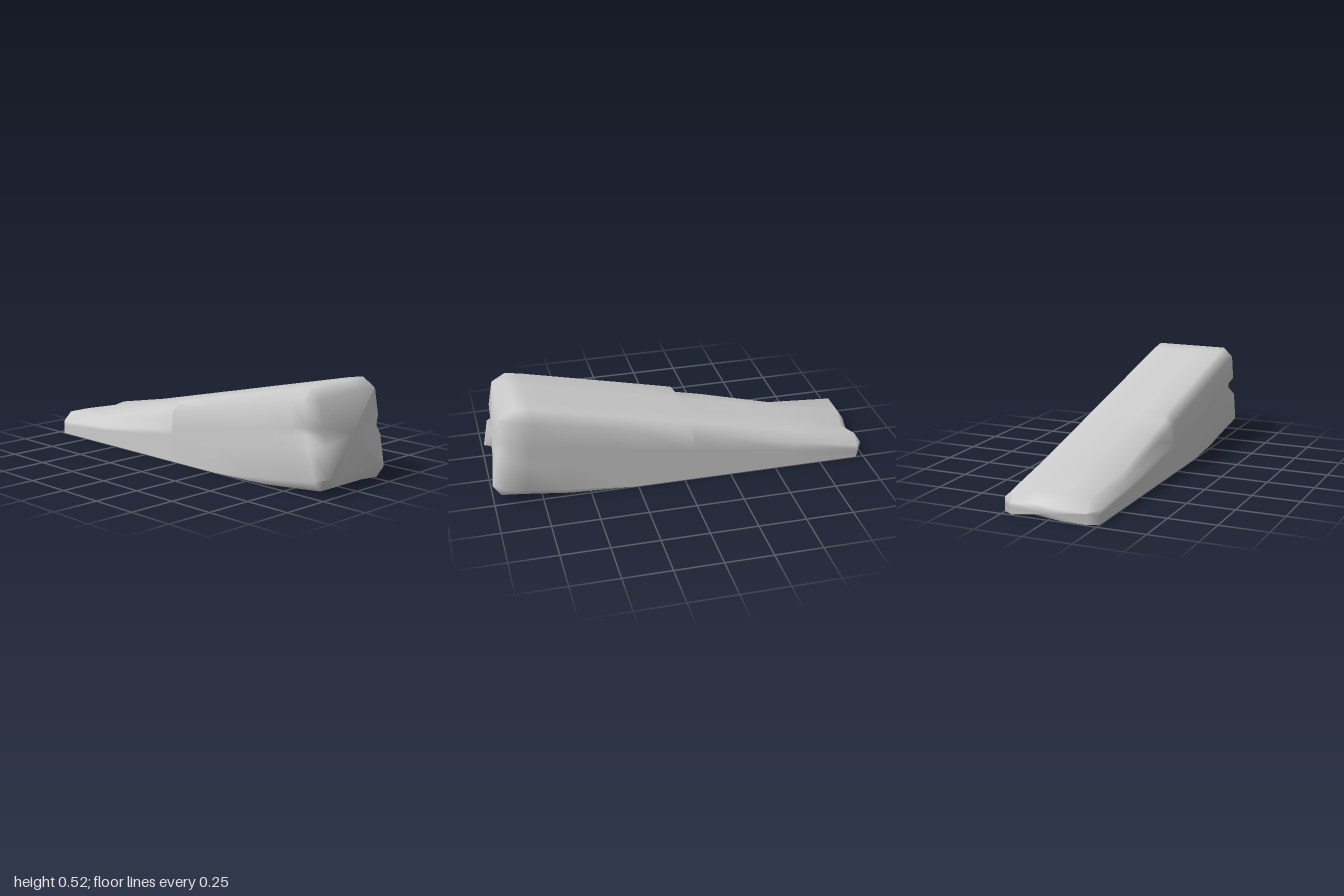
import * as THREE from 'three';

// Cross-sections from back to front:
// [z at bottom, z at top, z lag of the sides, inner half width, outer half width, bottom y, lower side y, upper side y, top y]
const SECTIONS = [
  [-0.99, -1.0, 0, 0.2, 0.2, 0, 0, 0.055, 0.06],
  [-0.96, -0.96, 0, 0.2, 0.25, 0, 0, 0.07, 0.12],
  [-0.6, -0.6, 0, 0.2, 0.25, 0, 0, 0.14, 0.19],
  [-0.2, -0.2, 0, 0.2, 0.25, 0, 0, 0.231, 0.281],
  [-0.055, -0.055, 0, 0.2, 0.25, 0, 0, 0.264, 0.314],
  [-0.035, -0.035, 0, 0.2, 0.25, 0, 0, 0.268, 0.318],
  [0.27, 0.27, 0, 0.25, 0.25, 0, 0, 0.338, 0.388],
  [0.6, 0.6, 0, 0.225, 0.25, 0, 0.035, 0.413, 0.463],
  [0.84, 0.78, 0, 0.205, 0.25, 0.018, 0.065, 0.454, 0.504],
  [0.96, 0.86, 0.01, 0.2, 0.25, 0.027, 0.08, 0.467, 0.517],
  [1.0, 0.93, 0, 0.2, 0.205, 0.085, 0.095, 0.465, 0.475],
];
const LAST = SECTIONS.length - 1;
const COLS = [-0.2, -0.07, 0.1, 0.2];
const SIDE = [0, 0.4, 0.53, 0.66, 1];
const RING = 18;

// Depth of the long chip in the right top edge, per section
const CHIP = { 2: 0.045, 3: 0.03, 4: 0.03 };

function ring(i) {
  const [zb, zt, lag, inner, outer, y0, yl, yh, y1] = SECTIONS[i];
  const zAt = (y) => zb + (zt - zb) * (y - y0) / (y1 - y0);
  const chip = CHIP[i] || 0;
  const pts = [];
  const row = (y, top) => COLS.map((c, k) => {
    const end = k === 0 || k === 3;
    const x = end ? Math.sign(c) * (top ? 0.2 : inner) : c;
    let z = zAt(y);
    // worn back end and worn lower front edge
    if (i < 2 && k === 2) z += 0.04;
    if (i === LAST && !top && k < 3) z -= k === 2 ? 0.03 : 0.04;
    if (i === LAST - 1 && !top && k < 3) z -= 0.02;
    return [x, y - (top && k === 0 ? chip : 0), z];
  });
  const side = (s) => SIDE.map((f, k) => {
    const y = yl + (yh - yl) * f;
    let x = s * outer, z = zAt(y) - lag;
    // notch in one upright front edge, shallow hollow in the other
    if (i >= LAST - 1 && k === 2) {
      x -= s * (s < 0 ? 0.035 : 0.012);
      z -= s < 0 ? 0.03 : 0.008;
    }
    const chipped = s < 0 && k === 4 ? chip : 0;
    return [x - s * chipped * 0.8, y - chipped * 0.8, z];
  });
  pts.push(...row(y0, false), ...side(1), ...row(y1, true).reverse(), ...side(-1).reverse());
  return pts;
}

function makeMesh(name, points, index, material) {
  const geometry = new THREE.BufferGeometry();
  geometry.setAttribute('position', new THREE.Float32BufferAttribute(points.flat(), 3));
  geometry.setIndex(index);
  geometry.computeVertexNormals();
  const mesh = new THREE.Mesh(geometry, material);
  mesh.name = name;
  return mesh;
}

export function createModel() {
  const group = new THREE.Group();
  group.name = 'wornBeam';
  const material = new THREE.MeshStandardMaterial({ color: 0xcccccc });

  const points = SECTIONS.flatMap((_, i) => ring(i));
  const body = [], underside = [];

  // Skin between neighbouring sections; the flat base keeps its own normals
  for (let i = 0; i < LAST; i++) {
    for (let j = 0; j < RING; j++) {
      const k = (j + 1) % RING;
      const a = i * RING + j, b = i * RING + k;
      const corner = j === 3 || j === RING - 1;
      const flat = (j < 3 && i < LAST - 1) || (corner && i < 6);
      (flat ? underside : body).push(a, b, b + RING, a, b + RING, a + RING);
    }
  }

  // End faces, fanned from a centre point
  for (const i of [0, LAST]) {
    const [zb, zt, , , , y0, , , y1] = SECTIONS[i];
    const centre = points.push([0, (y0 + y1) / 2, (zb + zt) / 2]) - 1;
    for (let j = 0; j < RING; j++) {
      const a = i * RING + j, b = i * RING + (j + 1) % RING;
      body.push(centre, ...(i ? [a, b] : [b, a]));
    }
  }

  group.add(makeMesh('beamBody', points, body, material));
  group.add(makeMesh('beamUnderside', points, underside, material));
  return group;
}
